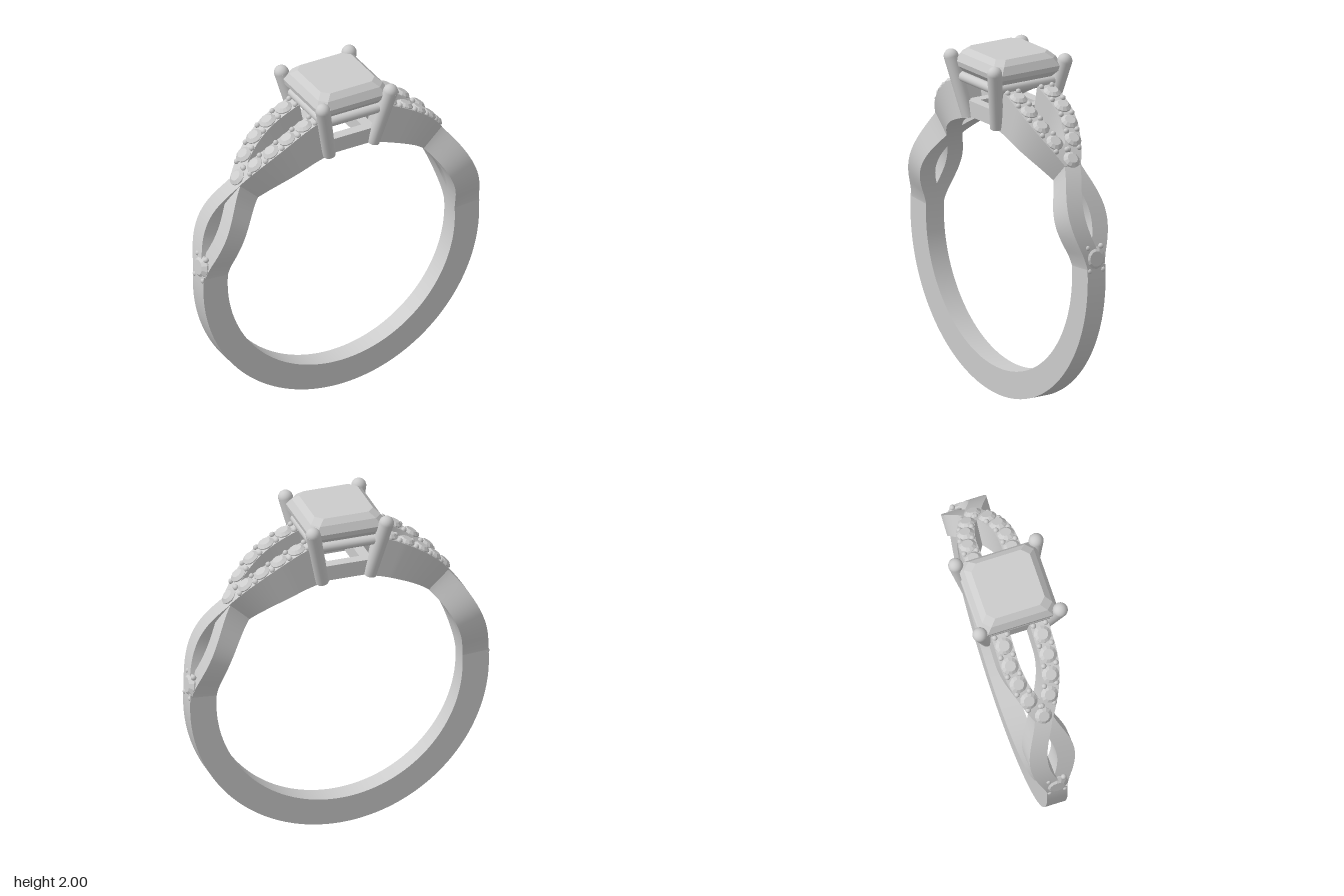
import * as THREE from 'three';
import { toCreasedNormals } from 'three/addons/utils/BufferGeometryUtils.js';

const CY = 0.88, RI = 0.725, RO = 0.88;
const rad = THREE.MathUtils.degToRad;
const metal = new THREE.MeshStandardMaterial({ color: 0xcccccc });
const faceted = new THREE.MeshStandardMaterial({ color: 0xcccccc, flatShading: true });

function add(parent, name, geometry, material = metal) {
  const mesh = new THREE.Mesh(geometry, material);
  mesh.name = name;
  parent.add(mesh);
  return mesh;
}

// Point on the ring: angle in degrees from +x, radius, depth
const onRing = (deg, r, z) =>
  new THREE.Vector3(r * Math.cos(rad(deg)), CY + r * Math.sin(rad(deg)), z);

// Skin a series of convex cross-sections and cap both ends
function loft(rings) {
  const pos = [];
  const tri = (...pts) => pts.forEach((p) => pos.push(p.x, p.y, p.z));
  const n = rings[0].length;
  for (let i = 0; i < rings.length - 1; i++) {
    for (let k = 0; k < n; k++) {
      const a = rings[i][k], b = rings[i][(k + 1) % n];
      const c = rings[i + 1][(k + 1) % n], d = rings[i + 1][k];
      tri(a, d, c);
      tri(a, c, b);
    }
  }
  const first = rings[0], last = rings[rings.length - 1];
  for (let k = 1; k < n - 1; k++) {
    tri(first[0], first[k], first[k + 1]);
    tri(last[0], last[k + 1], last[k]);
  }
  const g = new THREE.BufferGeometry();
  g.setAttribute('position', new THREE.Float32BufferAttribute(pos, 3));
  g.computeVertexNormals();
  return g;
}

// Rectangular section swept round the ring; section(deg) gives { z, half, outer }
function sweep(from, to, steps, section) {
  const rings = [];
  for (let i = 0; i <= steps; i++) {
    const deg = from + (to - from) * i / steps;
    const { z, half, outer } = section(deg);
    rings.push([
      onRing(deg, RI, z - half), onRing(deg, outer, z - half),
      onRing(deg, outer, z + half), onRing(deg, RI, z + half),
    ]);
  }
  return toCreasedNormals(loft(rings), rad(25));
}

// Depth of a strand centre line: lower loop, then the flared shoulder
const loopZ = (deg) => 0.083 * Math.sin(Math.PI * THREE.MathUtils.clamp((deg - 3) / 41, 0, 1)) ** 1.3;
const shoulderZ = (deg) => 0.113 * Math.sin(Math.PI / 2 * Math.min(1, Math.max(0, deg - 43) / 26));
const shoulderR = (deg) => 0.885 + 0.07 * (deg - 43) / 32;

// Small round stone with its table facing outward
function stone(parent, name, deg, r, z, radius) {
  const profile = [[0, -0.8], [1, -0.08], [1, 0.06], [0.62, 0.36], [0, 0.36]]
    .map(([x, y]) => new THREE.Vector2(x * radius, y * radius));
  const mesh = add(parent, name, new THREE.LatheGeometry(profile, 12), faceted);
  mesh.position.copy(onRing(deg, r, z));
  mesh.rotation.z = rad(deg - 90);
}

// Round bar between two points
function bar(parent, name, a, b, r0, r1) {
  const dir = b.clone().sub(a);
  const mesh = add(parent, name, new THREE.CylinderGeometry(r1, r0, dir.length(), 20));
  mesh.position.copy(a).add(b).multiplyScalar(0.5);
  mesh.quaternion.setFromUnitVectors(new THREE.Vector3(0, 1, 0), dir.normalize());
}

function createSide() {
  const side = new THREE.Group();
  side.name = 'ringSide';
  for (const s of [1, -1]) {
    // Split strand; the rear one dips a little below the front one
    add(side, 'twistStrand', sweep(1, 43.5, 36, (d) => ({
      z: s * loopZ(d), half: 0.052 + 0.008 * Math.max(0, 1 - (d - 1) / 8),
      outer: RO - (s < 0 ? 0.035 * Math.sin(Math.PI * (d - 1) / 42.5) : 0),
    })));
    add(side, 'shoulder', sweep(43, 78, 30, (d) => ({
      z: s * shoulderZ(d), half: 0.053, outer: shoulderR(d),
    })));
    // Row of stones with small beads between them
    for (const deg of [52.5, 59.5, 66.5, 73.5]) {
      stone(side, 'shoulderStone', deg, shoulderR(deg) + 0.004, s * shoulderZ(deg), 0.05);
    }
    for (const deg of [49, 56, 63, 70, 77]) {
      for (const e of [-1, 1]) {
        const bead = add(side, 'bead', new THREE.SphereGeometry(0.016, 10, 8));
        bead.position.copy(onRing(deg, shoulderR(deg) + 0.004, s * shoulderZ(deg) + e * 0.036));
      }
    }
  }
  stone(side, 'crossingStone', 45, 0.893, 0, 0.05);
  stone(side, 'baseStone', 7.5, 0.864, 0, 0.07);
  for (const deg of [3.2, 11.8]) {
    for (const e of [-1, 1]) {
      const bead = add(side, 'bead', new THREE.SphereGeometry(0.016, 10, 8));
      bead.position.copy(onRing(deg, 0.873, e * 0.045));
    }
  }
  return side;
}

function createHead() {
  const head = new THREE.Group();
  head.name = 'head';
  const V = (x, y, z) => new THREE.Vector3(x, y, z);
  for (const sx of [1, -1]) {
    for (const sz of [1, -1]) {
      const top = V(sx * 0.216, 1.945, sz * 0.236);
      bar(head, 'prong', V(sx * 0.14, 1.605, sz * 0.172), top, 0.037, 0.042);
      add(head, 'prongTip', new THREE.SphereGeometry(0.042, 20, 14)).position.copy(top);
    }
  }
  for (const s of [1, -1]) {
    // Upper gallery rails and lower base rails
    bar(head, 'galleryRail', V(-0.19, 1.835, s * 0.2), V(0.19, 1.835, s * 0.2), 0.028, 0.028);
    bar(head, 'galleryRail', V(s * 0.18, 1.835, -0.21), V(s * 0.18, 1.835, 0.21), 0.028, 0.028);
    add(head, 'baseRail', new THREE.BoxGeometry(0.28, 0.09, 0.06)).position.set(0, 1.655, s * 0.15);
    add(head, 'baseRail', new THREE.BoxGeometry(0.06, 0.09, 0.3)).position.set(s * 0.125, 1.655, 0);
  }
  // Step-cut centre stone: height, half width, corner cut
  const octagon = ([y, h, c]) => {
    const k = h - c;
    return [[h, -k], [h, k], [k, h], [-k, h], [-h, k], [-h, -k], [-k, -h], [k, -h]]
      .map(([x, z]) => V(x, y, z));
  };
  const steps = [
    [1.7, 0.003, 0.001], [1.78, 0.11, 0.015], [1.85, 0.18, 0.025], [1.895, 0.222, 0.035],
    [1.925, 0.228, 0.035], [1.97, 0.205, 0.04], [2.0, 0.172, 0.04],
  ];
  add(head, 'centreStone', loft(steps.map(octagon)), faceted);
  return head;
}

export function createModel() {
  const ring = new THREE.Group();
  ring.name = 'ring';
  // Plain lower band
  add(ring, 'band', sweep(-185, 5, 96, () => ({ z: 0, half: 0.06, outer: RO })));
  // Two sides with half-turn symmetry
  const left = createSide();
  const right = left.clone();
  right.rotation.y = Math.PI;
  ring.add(left, right, createHead());
  return ring;
}
